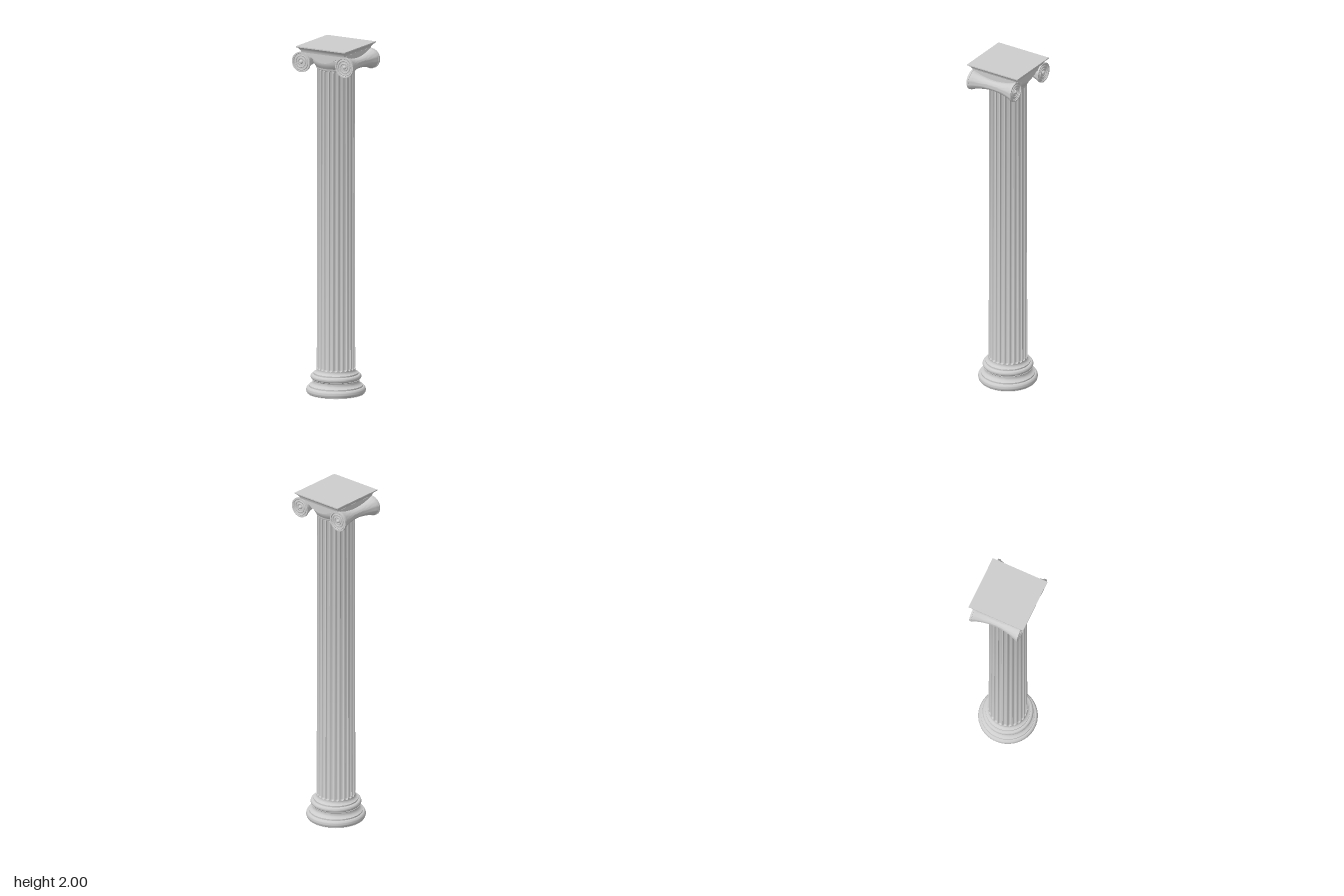
import * as THREE from 'three';
import { toCreasedNormals } from 'three/addons/utils/BufferGeometryUtils.js';

const stone = new THREE.MeshStandardMaterial({ color: 0xcccccc });
stone.name = 'stone';

function part(name, geometry, parent) {
  const mesh = new THREE.Mesh(geometry, stone);
  mesh.name = name;
  parent.add(mesh);
  return mesh;
}

// Turned part from [radius, height] pairs listed bottom to top
function turned(pairs, segments = 64, crease = 0.6) {
  const points = pairs.map(([r, y]) => new THREE.Vector2(r, y));
  return toCreasedNormals(new THREE.LatheGeometry(points, segments), crease);
}

// Half-round bulge between two heights, as profile points
function bulge(r, y0, y1, out, steps = 10) {
  return Array.from({ length: steps + 1 }, (_, i) => {
    const a = -Math.PI / 2 + (Math.PI * i) / steps;
    return [r + out * Math.cos(a), (y0 + y1) / 2 + ((y1 - y0) / 2) * Math.sin(a)];
  });
}

// Fluted shaft: rings whose grooves narrow to round arches at both ends
function shaftGeometry(y0, y1) {
  const flutes = 24, steps = 8, pitch = (Math.PI * 2) / flutes;
  const half = pitch * 0.39, depth = 0.0095, arch = 0.012, margin = 0.008;
  const rows = [[y0, 0]];
  for (let i = 0; i <= 6; i++) {
    const a = (i / 6) * Math.PI / 2;
    rows.push([y0 + margin + arch * (1 - Math.cos(a)), Math.sin(a)]);
  }
  for (let i = 6; i >= 0; i--) {
    const a = (i / 6) * Math.PI / 2;
    rows.push([y1 - margin - arch * (1 - Math.cos(a)), Math.sin(a)]);
  }
  rows.push([y1, 0]);
  const positions = [], index = [], ring = flutes * (steps + 1);
  rows.forEach(([y, open]) => {
    const radius = THREE.MathUtils.lerp(0.108, 0.106, (y - y0) / (y1 - y0));
    for (let f = 0; f < flutes; f++) {
      for (let k = 0; k <= steps; k++) {
        const s = -Math.cos((Math.PI * k) / steps);
        const angle = f * pitch + s * half * Math.max(open, 0.02);
        const r = radius - depth * open * Math.sqrt(Math.max(0, 1 - s * s));
        positions.push(r * Math.sin(angle), y, r * Math.cos(angle));
      }
    }
  });
  for (let j = 0; j < rows.length - 1; j++) {
    for (let i = 0; i < ring; i++) {
      const a = j * ring + i, b = j * ring + ((i + 1) % ring);
      index.push(a, b, b + ring, a, b + ring, a + ring);
    }
  }
  const geometry = new THREE.BufferGeometry();
  geometry.setAttribute('position', new THREE.Float32BufferAttribute(positions, 3));
  geometry.setIndex(index);
  return toCreasedNormals(geometry, 0.7);
}

// Scroll with rims at both ends and a waisted bolster between them
function bolsterGeometry() {
  const end = [[0, 0.141], [0.049, 0.141], [0.051, 0.147], [0.058, 0.147], [0.058, 0.135], [0.056, 0.135]];
  const waist = [];
  for (let i = 1; i < 16; i++) {
    const z = -0.135 + (0.27 * i) / 16;
    waist.push([0.03 + 0.026 * (z / 0.135) ** 2, z]);
  }
  const profile = [...end.map(([r, z]) => [r, -z]), ...waist, ...end.slice().reverse()];
  return turned(profile, 40).rotateX(Math.PI / 2);
}

// Raised spiral winding in to the eye of a scroll
function spiralGeometry(side) {
  const points = [];
  for (let i = 0; i <= 60; i++) {
    const t = i / 60, angle = Math.PI / 2 - t * Math.PI * 5, r = 0.052 - 0.037 * t;
    points.push(new THREE.Vector3(side * r * Math.cos(angle), r * Math.sin(angle), 0));
  }
  return new THREE.TubeGeometry(new THREE.CatmullRomCurve3(points), 120, 0.0042, 6);
}

export function createModel() {
  const model = new THREE.Group();
  model.name = 'column';

  // Round moulded base
  part('base', turned([
    [0, 0], [0.158, 0], ...bulge(0.153, 0.002, 0.042, 0.014),
    [0.151, 0.042], [0.151, 0.05], [0.141, 0.054], [0.134, 0.061], [0.13, 0.07], [0.131, 0.078],
    [0.136, 0.083], ...bulge(0.13, 0.084, 0.113, 0.012),
    [0.125, 0.113], [0.125, 0.121], [0.118, 0.123], [0.112, 0.128], [0.108, 0.136], [0.108, 0.14],
  ]), model);

  part('shaft', shaftGeometry(0.134, 1.872), model);

  const capital = new THREE.Group();
  capital.name = 'capital';
  model.add(capital);

  // Round cushion over the shaft
  part('echinus', turned([
    [0.1, 1.864], [0.109, 1.864], [0.112, 1.87], [0.112, 1.876], [0.118, 1.884],
    [0.126, 1.896], [0.131, 1.91], [0.131, 1.925], [0, 1.925],
  ]), capital);

  // Block joining the scrolls, with a sagging lower edge
  const band = new THREE.Shape();
  band.moveTo(-0.14, 1.968);
  band.lineTo(-0.14, 1.93);
  band.lineTo(-0.08, 1.94);
  band.quadraticCurveTo(0, 1.885, 0.08, 1.94);
  band.lineTo(0.14, 1.93);
  band.lineTo(0.14, 1.968);
  band.closePath();
  part('scrollBand', new THREE.ExtrudeGeometry(band, { depth: 0.276, bevelEnabled: false, curveSegments: 16 })
    .translate(0, 0, -0.138), capital);

  // Scrolls on both sides, carved on both faces
  for (const side of [-1, 1]) {
    const scroll = new THREE.Group();
    scroll.name = side > 0 ? 'leftScroll' : 'rightScroll';
    scroll.position.set(side * 0.141, 1.907, 0);
    capital.add(scroll);
    part('bolster', bolsterGeometry(), scroll);
    for (const face of [-1, 1]) {
      part('spiral', spiralGeometry(side), scroll).position.z = face * 0.142;
      const eye = part('scrollEye', new THREE.SphereGeometry(0.011, 16, 10), scroll);
      eye.position.z = face * 0.141;
    }
  }

  // Square top slab with a hollow moulding below
  const corner = Math.SQRT2;
  const slab = [
    [0, 1.964], [0.138, 1.964], [0.14, 1.972], [0.144, 1.98], [0.151, 1.988],
    [0.158, 1.993], [0.16, 1.994], [0.16, 2], [0, 2],
  ].map(([r, y]) => new THREE.Vector2(r * corner, y));
  const abacus = new THREE.LatheGeometry(slab, 4).rotateY(Math.PI / 4).scale(1, 1, 1.05);
  part('abacus', toCreasedNormals(abacus, 0.3), capital);

  return model;
}
